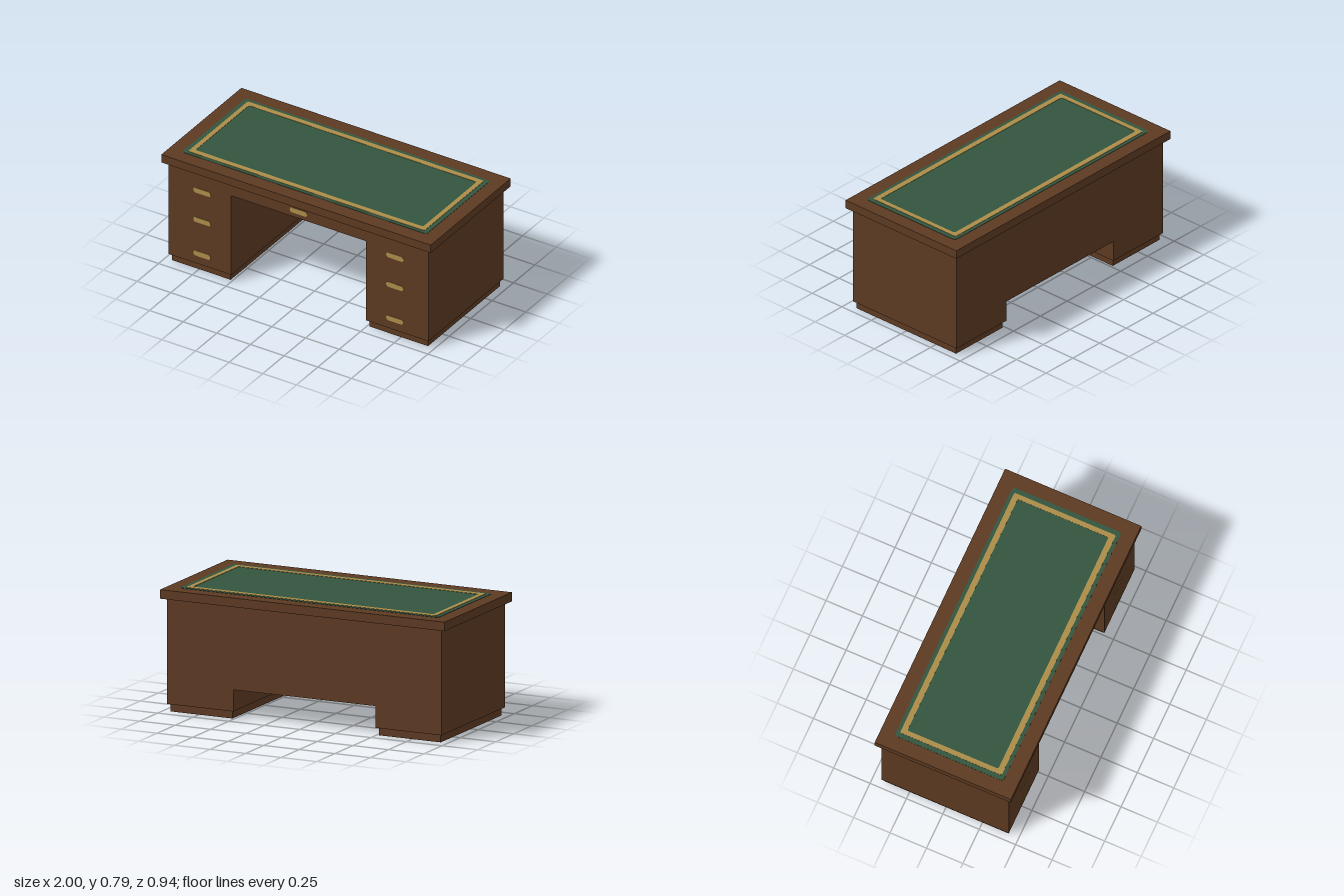
import * as THREE from 'three';

export function createModel() {
  const desk = new THREE.Group();
  desk.name = 'desk';

  const makeMaterial = (name, color) => {
    const m = new THREE.MeshStandardMaterial({ color });
    m.name = name;
    return m;
  };
  const wood = makeMaterial('walnut wood', 0x5d3a22);
  const leather = makeMaterial('green leather', 0x335540);
  const brass = makeMaterial('brass', 0xab8c48);

  const addMesh = (name, geometry, material, x, y, z) => {
    const mesh = new THREE.Mesh(geometry, material);
    mesh.name = name;
    mesh.position.set(x, y, z);
    desk.add(mesh);
    return mesh;
  };

  // Box given by its limits on each axis
  const box = (name, [x0, x1], [y0, y1], [z0, z1]) =>
    addMesh(name, new THREE.BoxGeometry(x1 - x0, y1 - y0, z1 - z0), wood,
      (x0 + x1) / 2, (y0 + y1) / 2, (z0 + z1) / 2);

  // Rounded rectangle outline centred on the origin
  const roundedRect = (halfW, halfH, r, Kind = THREE.Shape) => {
    const s = new Kind();
    s.moveTo(halfW, halfH - r);
    s.absarc(halfW - r, halfH - r, r, 0, Math.PI / 2);
    s.absarc(r - halfW, halfH - r, r, Math.PI / 2, Math.PI);
    s.absarc(r - halfW, r - halfH, r, Math.PI, Math.PI * 1.5);
    s.absarc(halfW - r, r - halfH, r, Math.PI * 1.5, Math.PI * 2);
    s.closePath();
    return s;
  };
  const plate = (shape, depth) =>
    new THREE.ExtrudeGeometry(shape, { depth, bevelEnabled: false, curveSegments: 6 });

  const bodyX = 0.965, bodyZ = 0.4375, kneeX = 0.5, topY = 0.73, deskY = 0.788;

  // Carcass
  box('tabletop', [-1, 1], [topY, deskY], [-0.4675, 0.4675]);
  box('centreDrawer', [-kneeX, kneeX], [0.635, topY], [-bodyZ, bodyZ]);
  box('modestyPanel', [-kneeX, kneeX], [0.19, 0.635], [-bodyZ, -bodyZ + 0.05]);

  // Pulls are thin plates on the drawer fronts
  const pullGeometry = plate(roundedRect(0.064, 0.018, 0.0175), 0.003);
  const pull = (name, x, y) => addMesh(name, pullGeometry, brass, x, y, bodyZ);
  pull('centrePull', 0, 0.683);

  // Drawer pedestals with recessed plinths
  for (const [side, sign] of [['left', 1], ['right', -1]]) {
    const span = (a, b) => (sign > 0 ? [a, b] : [-b, -a]);
    box(side + 'Pedestal', span(kneeX, bodyX), [0.05, topY], [-bodyZ, bodyZ]);
    box(side + 'Plinth', span(0.515, 0.95), [0, 0.05], [-0.42, 0.42]);
    [0.59, 0.373, 0.125].forEach((y, i) => pull(side + 'Pull' + (i + 1), sign * 0.716, y));
  }

  // Leather writing surface with a brass border line
  addMesh('leatherInlay', plate(roundedRect(0.908, 0.373, 0.02), 0.002), leather, 0, deskY, 0)
    .rotation.x = -Math.PI / 2;
  const border = roundedRect(0.877, 0.349, 0.012);
  border.holes.push(roundedRect(0.845, 0.312, 0.01, THREE.Path));
  addMesh('brassBorder', plate(border, 0.002), brass, 0, deskY + 0.002, 0)
    .rotation.x = -Math.PI / 2;

  return desk;
}
